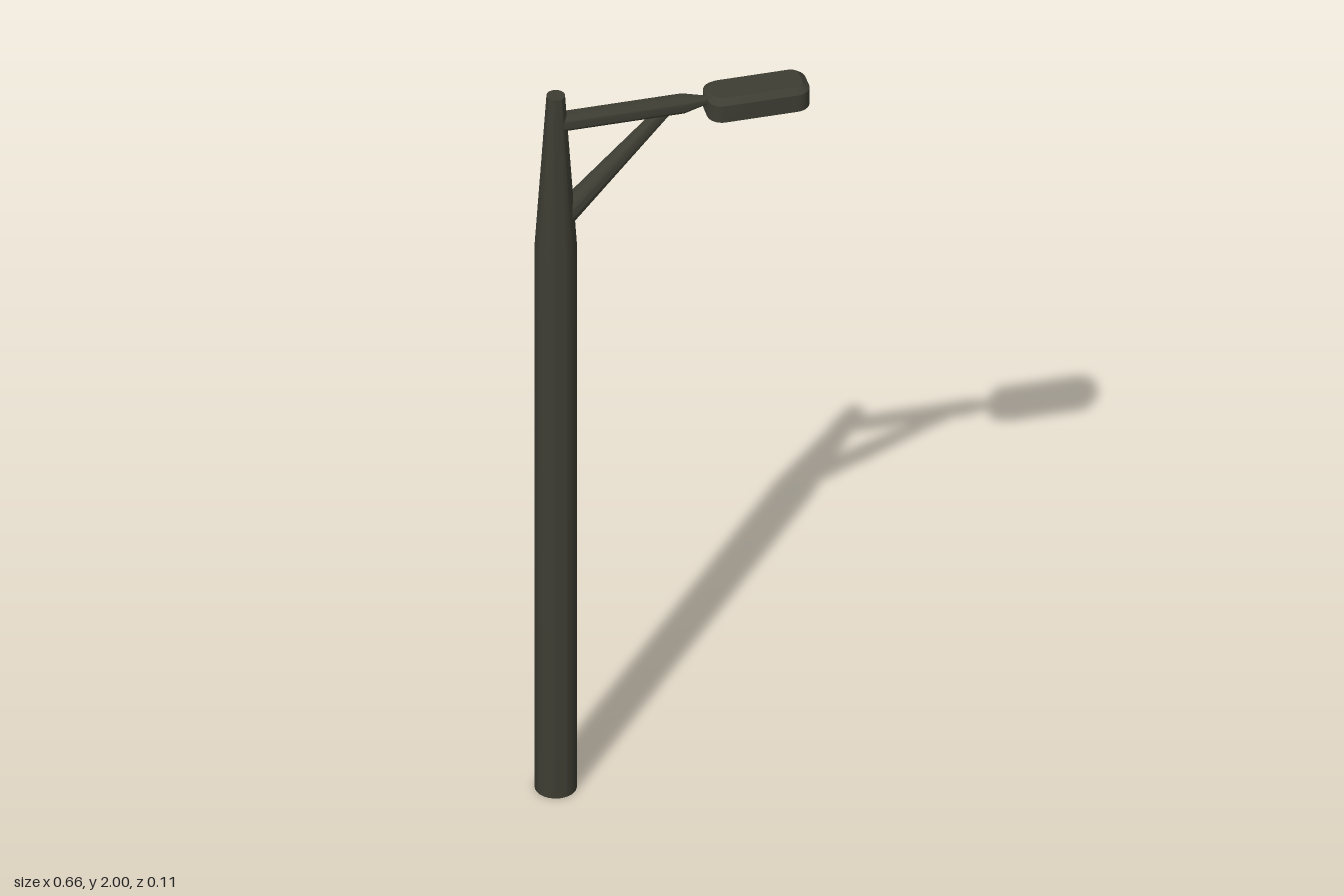
import * as THREE from 'three';
import { toCreasedNormals } from 'three/addons/utils/BufferGeometryUtils.js';

const metal = new THREE.MeshStandardMaterial({ color: 0x3d3d33 });
const glow = new THREE.MeshStandardMaterial({ color: 0xb4bc1e });
const CREASE = 0.6;

function part(name, geometry, material = metal) {
  const mesh = new THREE.Mesh(toCreasedNormals(geometry, CREASE), material);
  mesh.name = name;
  return mesh;
}

// Round tube along +y from [radius, height] pairs, closed at both ends
function turned(profile) {
  const ends = [[0, profile[0][1]], ...profile, [0, profile[profile.length - 1][1]]];
  return new THREE.LatheGeometry(ends.map(([r, y]) => new THREE.Vector2(r, y)), 32);
}

// Lofts rounded rectangles given as [inset, y]; an inset of null collapses to the centre
function loftHead(rings) {
  const hx = 0.124, hz = 0.053, radius = 0.036, steps = 8;
  const positions = [], index = [];
  const n = 4 * (steps + 1);
  for (const [inset, y] of rings) {
    for (let c = 0; c < 4; c++) {
      const sx = c === 0 || c === 3 ? 1 : -1;
      const sz = c < 2 ? 1 : -1;
      for (let i = 0; i <= steps; i++) {
        const a = (c + i / steps) * Math.PI / 2;
        if (inset === null) positions.push(0, y, 0);
        else positions.push(
          sx * (hx - radius) + (radius - inset) * Math.cos(a), y,
          sz * (hz - radius) + (radius - inset) * Math.sin(a));
      }
    }
  }
  for (let r = 0; r < rings.length - 1; r++) {
    for (let j = 0; j < n; j++) {
      const a = r * n + j, b = r * n + (j + 1) % n;
      if (rings[r][0] !== null) index.push(a, a + n, b);
      if (rings[r + 1][0] !== null) index.push(b, a + n, b + n);
    }
  }
  const geometry = new THREE.BufferGeometry();
  geometry.setAttribute('position', new THREE.Float32BufferAttribute(positions, 3));
  geometry.setIndex(index);
  geometry.computeVertexNormals();
  return geometry;
}

export function createModel() {
  const model = new THREE.Group();
  model.name = 'streetLamp';
  const poleX = -0.282, armY = 1.922;

  // Straight pole with a tapered top
  const pole = part('pole', turned([[0.05, 0], [0.05, 1.57], [0.022, 2]]));
  pole.position.x = poleX;

  // Horizontal arm narrowing to a neck at the lamp
  const arm = part('arm', turned([[0.024, 0], [0.024, 0.31], [0.012, 0.36], [0.012, 0.385]]));
  arm.rotation.z = -Math.PI / 2;
  arm.position.set(poleX, armY, 0);

  // Diagonal brace, thicker at the pole
  const from = new THREE.Vector3(-0.261, 1.652, 0);
  const to = new THREE.Vector3(-0.01, 1.918, 0);
  const span = to.clone().sub(from);
  const brace = part('brace', turned([[0.029, 0], [0.016, span.length()]]));
  brace.position.copy(from);
  brace.quaternion.setFromUnitVectors(new THREE.Vector3(0, 1, 0), span.normalize());

  // Lamp head: open underside, bevelled top, recessed light panel
  const head = new THREE.Group();
  head.name = 'lampHead';
  head.position.x = 0.206;
  head.add(
    part('housing', loftHead([
      [0.016, 1.917], [0.016, 1.887], [0, 1.887], [0, 1.934], [0.016, 1.947], [null, 1.947],
    ])),
    part('lightPanel', loftHead([[null, 1.915], [0.016, 1.915]]), glow),
  );

  model.add(pole, arm, brace, head);
  return model;
}
